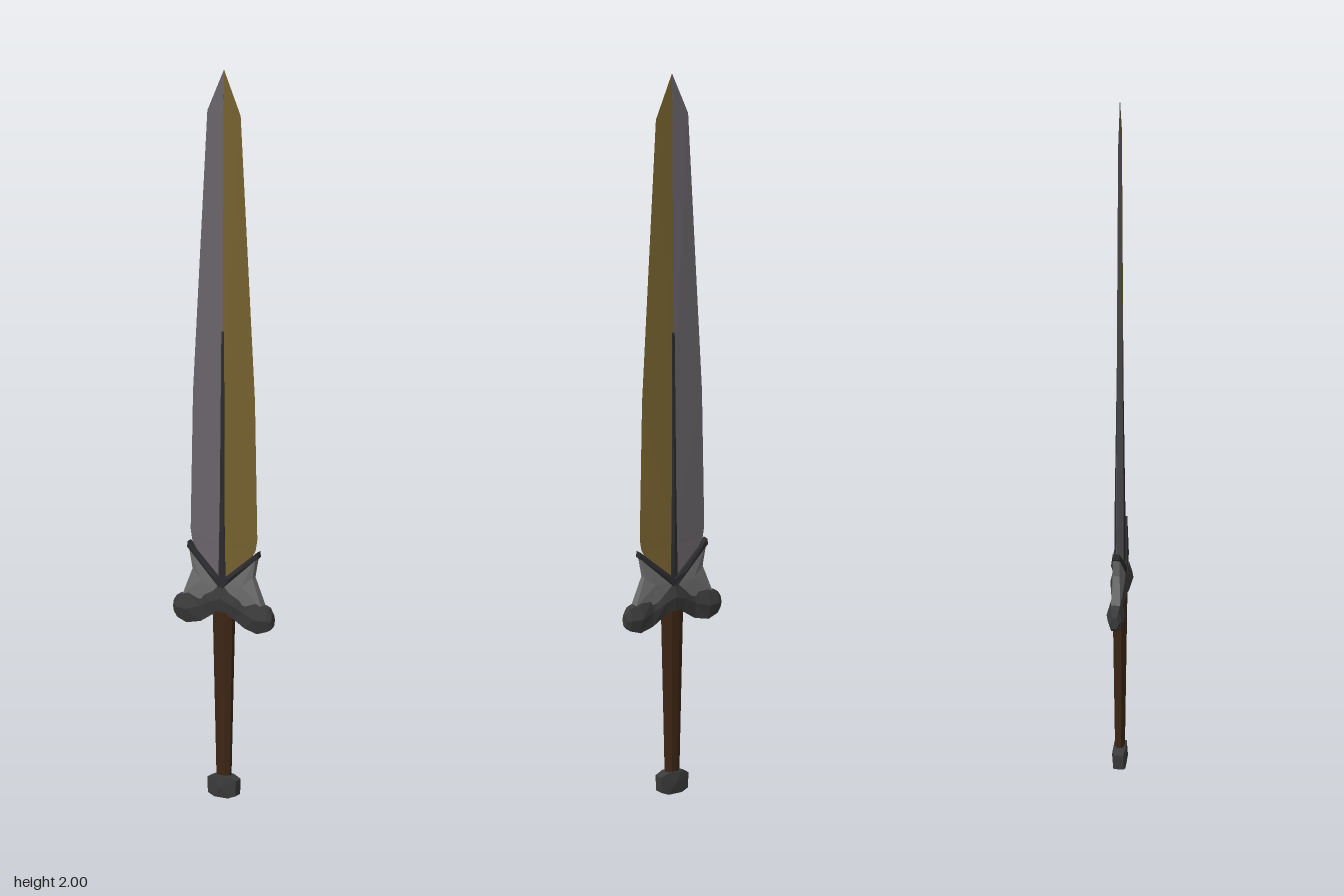
import * as THREE from 'three';

const mat = (color) => new THREE.MeshStandardMaterial({ color, flatShading: true });
const steel = mat(0x69646a), gold = mat(0x75602f), dark = mat(0x3b3b3b);
const panelGrey = mat(0x6d6d6d), black = mat(0x2c2c2e), leather = mat(0x3d2615);

// Mesh from triangles of points; side = -1 mirrors it in x and keeps it facing outward
function facets(name, tris, material, side = 1) {
  const flat = [];
  for (const t of tris) {
    for (const p of side < 0 ? [t[0], t[2], t[1]] : t) flat.push(p[0] * side, p[1], p[2]);
  }
  const geo = new THREE.BufferGeometry();
  geo.setAttribute('position', new THREE.Float32BufferAttribute(flat, 3));
  geo.computeVertexNormals();
  const mesh = new THREE.Mesh(geo, material);
  mesh.name = name;
  return mesh;
}

const back = ([x, y, z]) => [x, y, -z];

// Plate symmetric in z: a counterclockwise rim rising to a raised point on both faces
function plate(rim, peak) {
  const tris = [];
  rim.forEach((a, i) => {
    const b = rim[(i + 1) % rim.length];
    tris.push([peak, a, b], [back(peak), back(b), back(a)]);
    tris.push([a, back(a), back(b)], [a, back(b), b]);
  });
  return tris;
}

// Skin between consecutive rings of equal length, closed at the last ring
function loft(rings) {
  const tris = [];
  for (let i = 0; i + 1 < rings.length; i++) {
    const a = rings[i], b = rings[i + 1], n = a.length;
    for (let j = 0; j < n; j++) {
      const k = (j + 1) % n;
      tris.push([a[j], b[j], b[k]], [a[j], b[k], a[k]]);
    }
  }
  const end = rings[rings.length - 1];
  for (let j = 1; j + 1 < end.length; j++) tris.push([end[0], end[j], end[j + 1]]);
  return tris;
}

// Blade stations: height, half width, half thickness at the ridge
const BLADE = [[0.55, 0.02, 0.012], [0.69, 0.095, 0.011], [0.72, 0.1, 0.011], [1.1, 0.093, 0.008], [1.88, 0.05, 0.002], [2, 0, 0.0005]];

function bladeHalf() {
  const tris = [];
  for (let i = 0; i + 1 < BLADE.length; i++) {
    const [y0, w0, t0] = BLADE[i], [y1, w1, t1] = BLADE[i + 1];
    const a = [0, y0, t0], b = [w0, y0, 0], c = [w1, y1, 0], d = [0, y1, t1];
    for (const t of [[a, b, c], [a, c, d]]) {
      tris.push(t, [back(t[0]), back(t[2]), back(t[1])]);
    }
  }
  return tris;
}

// Guard stations: x, top, bottom, half depth at the middle, half depth at the rims
const GUARD = [
  [0, 0.6, 0.498, 0.025, 0.014], [0.03, 0.575, 0.498, 0.021, 0.012], [0.065, 0.558, 0.474, 0.014, 0.009],
  [0.105, 0.546, 0.465, 0.025, 0.013], [0.135, 0.536, 0.475, 0.019, 0.01], [0.147, 0.52, 0.488, 0.011, 0.006],
];

function guardWing() {
  return loft(GUARD.map(([x, top, bottom, z, rim]) => {
    const mid = (top + bottom) / 2;
    return [[x, top, rim], [x, mid, z], [x, bottom, rim], [x, bottom, -rim], [x, mid, -z], [x, top, -rim]].reverse();
  }).map((ring) => ring.reverse()).map((ring) => ring.slice().reverse()));
}

export function createModel() {
  const sword = new THREE.Group();
  sword.name = 'sword';

  for (const side of [1, -1]) {
    const label = side > 0 ? 'left' : 'right';
    sword.add(facets(label + 'BladeHalf', bladeHalf(), side > 0 ? gold : steel, side));

    const wing = facets(label + 'GuardWing', guardWing(), dark, side);
    wing.material = dark.clone();
    wing.material.side = THREE.DoubleSide;
    sword.add(wing);

    // Pale webs between the wing and the blade
    sword.add(facets(label + 'GuardWeb', plate([
      [0, 0.55, 0.016], [0.07, 0.535, 0.012], [0.118, 0.54, 0.012],
      [0.09, 0.615, 0.008], [0.1, 0.672, 0.009], [0.005, 0.588, 0.016],
    ], [0.06, 0.59, 0.015]), panelGrey, side));

    // Diagonal bars along the upper edge of the webs
    sword.add(facets(label + 'GuardBar', plate([
      [0, 0.572, 0.018], [0.106, 0.672, 0.009], [0.104, 0.688, 0.009], [0, 0.598, 0.018],
    ], [0.035, 0.615, 0.02]), black, side));
  }

  // Narrow spine tapering up the middle of the blade
  sword.add(facets('bladeSpine', plate([
    [-0.011, 0.55, 0.012], [0.011, 0.55, 0.012], [0.007, 0.8, 0.0105],
    [0.004, 1.28, 0.007], [-0.004, 1.28, 0.007], [-0.007, 0.8, 0.0105],
  ], [0, 0.7, 0.015]), black));

  // Eight-sided grip, flattened front to back
  const gripGeo = new THREE.CylinderGeometry(0.032, 0.021, 0.47, 8);
  gripGeo.rotateY(Math.PI / 8).scale(1, 1, 0.62);
  const grip = new THREE.Mesh(gripGeo, leather);
  grip.name = 'grip';
  grip.position.y = 0.275;
  sword.add(grip);

  // Faceted pommel
  sword.add(facets('pommel', plate([
    [-0.041, 0.008, 0.013], [-0.02, 0, 0.016], [0.02, 0, 0.016], [0.041, 0.008, 0.013],
    [0.043, 0.05, 0.013], [0.02, 0.06, 0.016], [-0.02, 0.06, 0.016], [-0.043, 0.05, 0.013],
  ], [0, 0.03, 0.021]), dark));

  return sword;
}
